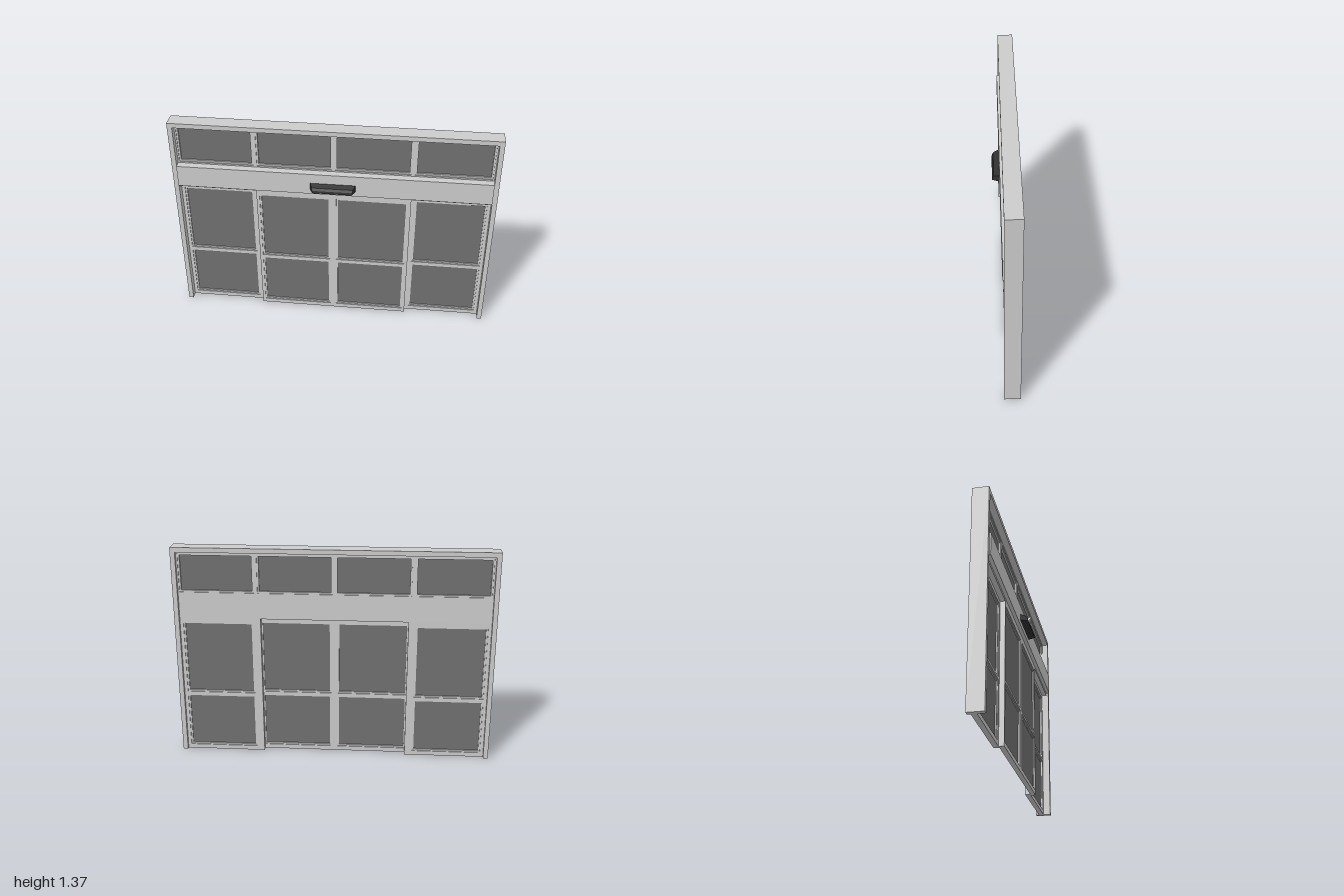
import * as THREE from 'three';

const grey = new THREE.MeshStandardMaterial({ color: 0xcccccc });
const glassMat = new THREE.MeshStandardMaterial({ color: 0x707070 });
const black = new THREE.MeshStandardMaterial({ color: 0x303030 });

function add(parent, name, geometry, material) {
  const mesh = new THREE.Mesh(geometry, material);
  mesh.name = name;
  parent.add(mesh);
  return mesh;
}

// Box given by its limits on each axis
function box(parent, name, x0, x1, y0, y1, z0, z1, material = grey) {
  const mesh = add(parent, name, new THREE.BoxGeometry(x1 - x0, y1 - y0, z1 - z0), material);
  mesh.position.set((x0 + x1) / 2, (y0 + y1) / 2, (z0 + z1) / 2);
  return mesh;
}

function rect(target, [x0, x1, y0, y1]) {
  target.moveTo(x0, y0);
  target.lineTo(x1, y0);
  target.lineTo(x1, y1);
  target.lineTo(x0, y1);
  target.closePath();
  return target;
}

// Flat frame with rectangular openings, between two depths
function lattice(parent, name, outer, openings, z0, z1) {
  const shape = rect(new THREE.Shape(), outer);
  openings.forEach((o) => shape.holes.push(rect(new THREE.Path(), o)));
  const geometry = new THREE.ExtrudeGeometry(shape, { depth: z1 - z0, bevelEnabled: false });
  geometry.translate(0, 0, z0);
  return add(parent, name, geometry, grey);
}

// Glazed panel: frame, recessed glazing beads and glass panes
function glazedPanel(parent, name, outer, panes, z0, z1) {
  const group = new THREE.Group();
  group.name = name;
  const bead = 0.011;
  const mid = (z0 + z1) / 2;
  const openings = panes.map(([a, b, c, d]) => [a - bead, b + bead, c - bead, d + bead]);
  lattice(group, 'panelFrame', outer, openings, z0, z1);
  panes.forEach((p, i) => {
    lattice(group, 'glazingBead', openings[i], [p], z0 + 0.006, z1 - 0.006);
    box(group, 'glassPane', ...p, mid - 0.003, mid + 0.003, glassMat);
  });
  parent.add(group);
}

export function createModel() {
  const model = new THREE.Group();
  model.name = 'slidingDoorEntrance';
  const back = -0.055;
  const middle = -0.022;
  const front = 0.01;

  // Outer frame, open at the floor
  const outline = new THREE.Shape();
  [[-1, 0], [-0.97, 0], [-0.97, 1.335], [0.97, 1.335], [0.97, 0], [1, 0], [1, 1.365], [-1, 1.365]]
    .forEach(([x, y], i) => (i ? outline.lineTo(x, y) : outline.moveTo(x, y)));
  const frame = new THREE.ExtrudeGeometry(outline, { depth: 0.1, bevelEnabled: false });
  frame.translate(0, 0, -0.075);
  add(model, 'outerFrame', frame, grey);

  // Row of windows above the header
  const transomPanes = [[-0.95, -0.507], [-0.463, -0.02], [0.02, 0.463], [0.507, 0.95]]
    .map(([a, b]) => [a, b, 1.09, 1.312]);
  glazedPanel(model, 'transomWindows', [-0.97, 0.97, 1.07, 1.335], transomPanes, back, -0.015);

  // Header beam and its projecting cover
  box(model, 'headerBeam', -0.97, 0.97, 0.913, 1.07, back, front);
  box(model, 'headerCover', -0.97, 0.97, 0.93, 1.07, front, 0.033);

  // Fixed side panels behind, sliding doors in front
  const rows = [[0.04, 0.38], [0.42, 0.875]];
  const panes = (a, b) => rows.map(([c, d]) => [a, b, c, d]);
  for (const s of [-1, 1]) {
    const span = (a, b) => (s > 0 ? [a, b] : [-b, -a]);
    const side = s > 0 ? 'left' : 'right';
    glazedPanel(model, side + 'FixedPanel', [...span(0.46, 0.97), 0, 0.913],
      panes(...span(0.518, 0.938)), back, middle);
    glazedPanel(model, side + 'SlidingDoor', [...span(0, 0.483), 0, 0.913],
      panes(...span(0.03, 0.453)), middle, front);
  }

  // Motion sensor: wedge profile, narrowing toward its front
  const profile = new THREE.Shape();
  [[0.033, 0.965], [0.078, 0.965], [0.076, 0.98], [0.068, 0.996], [0.037, 1.007], [0.033, 1.007]]
    .forEach(([z, y], i) => (i ? profile.lineTo(z, y) : profile.moveTo(z, y)));
  const sensor = new THREE.ExtrudeGeometry(profile, { depth: 0.28, bevelEnabled: false });
  sensor.translate(0, 0, -0.14);
  sensor.rotateY(-Math.PI / 2);
  // After the turn the profile depth lies along z and the length along x
  const pos = sensor.attributes.position;
  for (let i = 0; i < pos.count; i++) {
    const t = (pos.getZ(i) - 0.033) / 0.045;
    pos.setX(i, Math.sign(pos.getX(i)) * (0.14 - 0.018 * t));
  }
  sensor.computeVertexNormals();
  add(model, 'motionSensor', sensor, black);

  return model;
}
